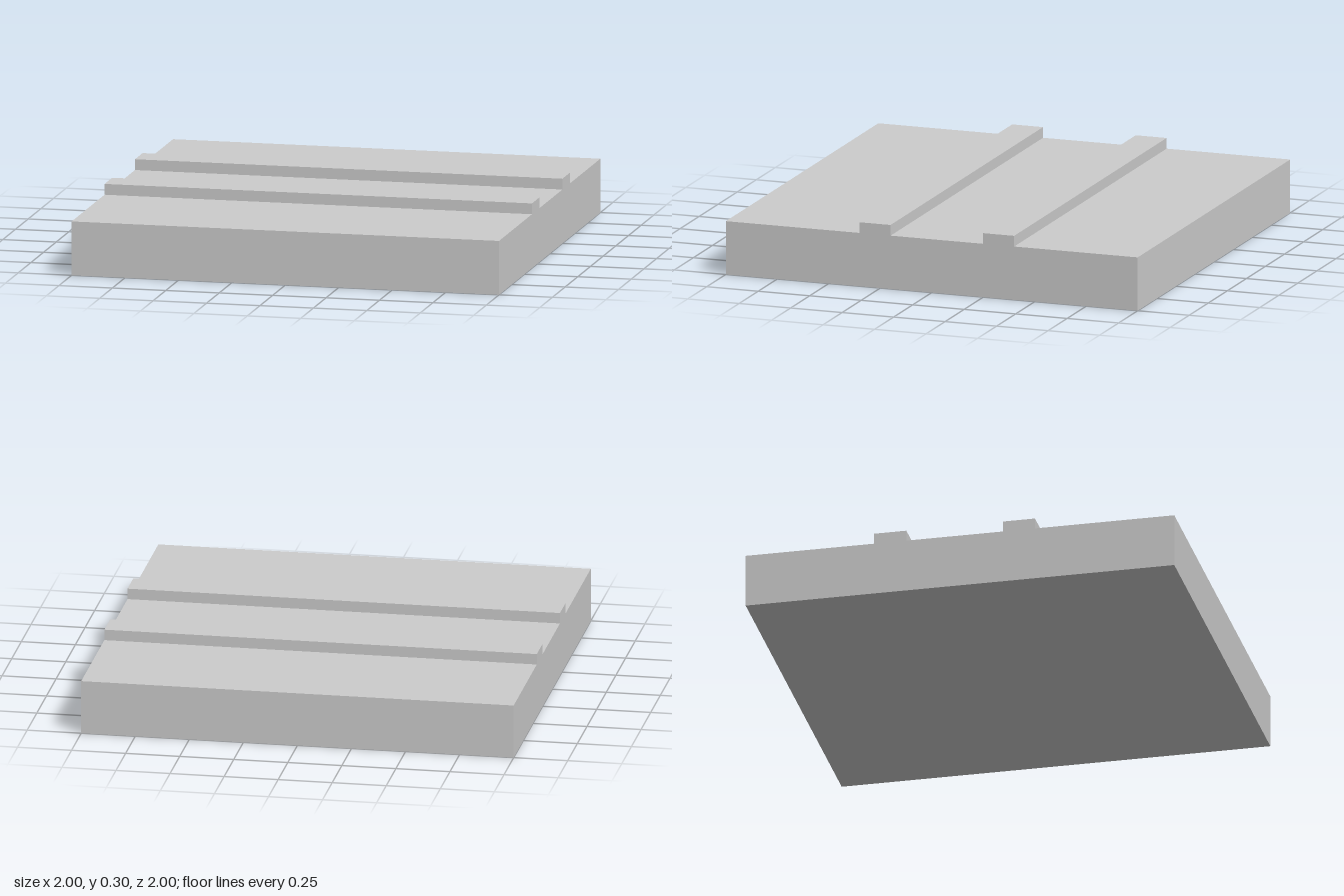
import * as THREE from 'three';

const LENGTH = 2, HALF = 1, DECK = 0.25, RAIL_TOP = 0.3;
// Front and back edge of each rail, as z positions
const RAILS = [[0.35, 0.2], [-0.25, -0.4]];

export function createModel() {
  const group = new THREE.Group();
  group.name = 'railedSlab';

  // Side outline of the slab with its two raised rails (shape x runs along -z)
  const outline = new THREE.Shape();
  outline.moveTo(-HALF, 0);
  outline.lineTo(-HALF, DECK);
  for (const [front, back] of RAILS) {
    outline.lineTo(-front, DECK);
    outline.lineTo(-front, RAIL_TOP);
    outline.lineTo(-back, RAIL_TOP);
    outline.lineTo(-back, DECK);
  }
  outline.lineTo(HALF, DECK);
  outline.lineTo(HALF, 0);
  outline.closePath();

  // Run the outline across the full width
  const geometry = new THREE.ExtrudeGeometry(outline, { depth: LENGTH, bevelEnabled: false });
  geometry.translate(0, 0, -LENGTH / 2);
  geometry.rotateY(Math.PI / 2);

  const slab = new THREE.Mesh(geometry, new THREE.MeshStandardMaterial({ color: 0xcccccc }));
  slab.name = 'slabWithRails';
  group.add(slab);
  return group;
}
